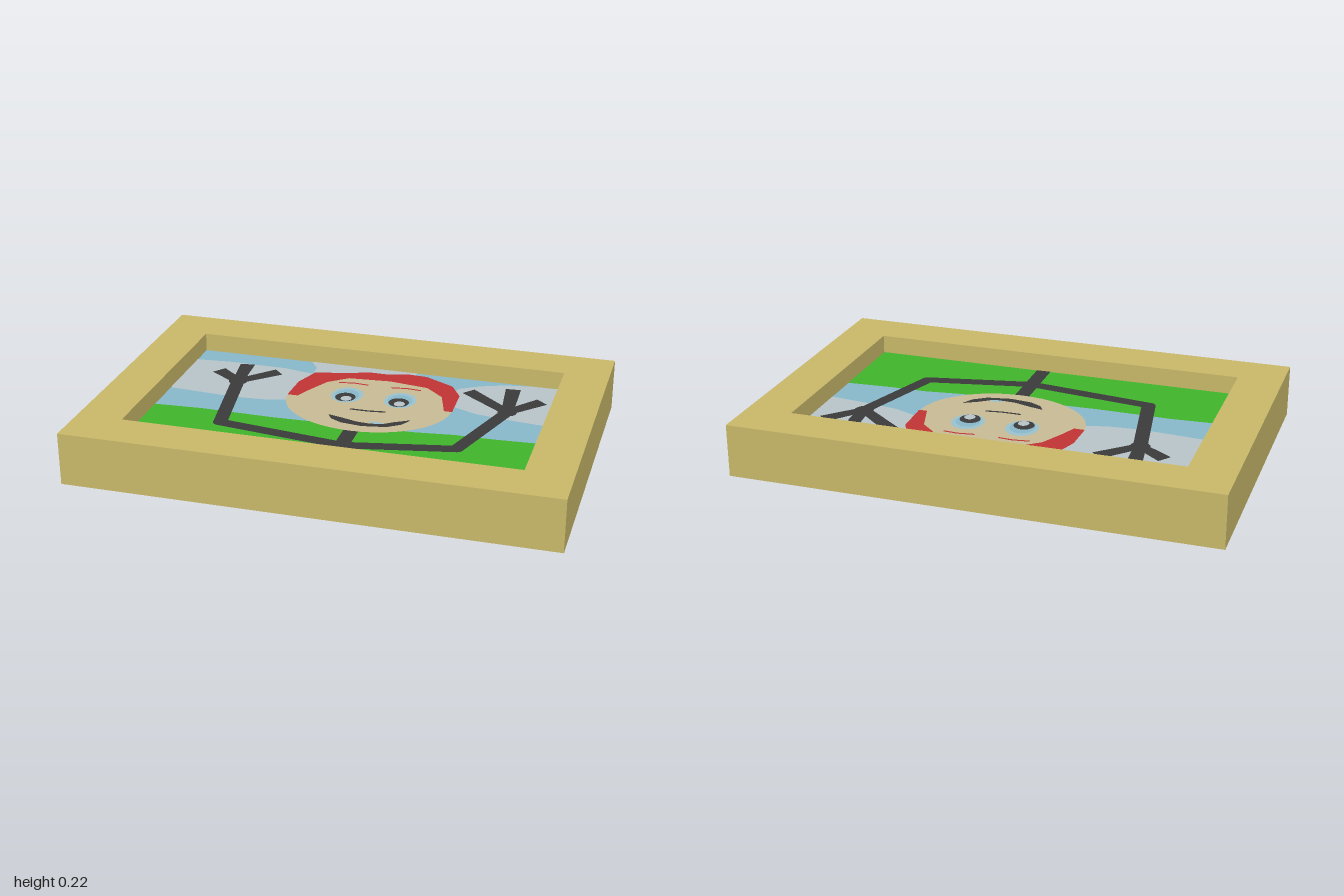
import * as THREE from 'three';

const mat = (name, color) => new THREE.MeshStandardMaterial({ name, color });

export function createModel() {
  const group = new THREE.Group();
  const wood = mat('wood', 0xc9b96a);
  const sky = mat('skyBlue', 0x89b9cb);
  const cloud = mat('cloudGrey', 0xb9c5ca);
  const green = mat('grassGreen', 0x41b52b);
  const skin = mat('skin', 0xc9bb94);
  const red = mat('hairRed', 0xc13434);
  const dark = mat('charcoal', 0x3b3b3b);
  const pale = mat('paleBlue', 0x9cc2cd);

  const W = 0.81, D = 0.473, H = 0.22, FLOOR = 0.14;

  const add = (name, geometry, material) => {
    const mesh = new THREE.Mesh(geometry, material);
    mesh.name = name;
    group.add(mesh);
    return mesh;
  };

  // Picture coordinates are hundredths of a unit: x right, z towards the front.
  const toVec = ([x, z]) => new THREE.Vector2(x / 100, -z / 100);
  const paint = (name, shapes, material, layer) => {
    const g = new THREE.ShapeGeometry(shapes, 24);
    g.rotateX(-Math.PI / 2);
    g.translate(0, FLOOR + layer * 0.001, 0);
    return add(name, g, material);
  };
  const poly = (points) => new THREE.Shape(points.map(toVec));
  const oval = (x, z, rx, rz) =>
    new THREE.Shape().absellipse(x / 100, -z / 100, rx / 100, rz / 100, 0, Math.PI * 2, false, 0);

  // Brush stroke: one quad per segment, with round dabs at inner joints.
  const stroke = (points, w0, w1 = w0) => {
    const shapes = [];
    for (let i = 0; i < points.length - 1; i++) {
      const [ax, az] = points[i], [bx, bz] = points[i + 1];
      const len = Math.hypot(bx - ax, bz - az);
      const nx = -(bz - az) / len / 2, nz = (bx - ax) / len / 2;
      shapes.push(poly([
        [ax + nx * w0, az + nz * w0], [bx + nx * w1, bz + nz * w1],
        [bx - nx * w1, bz - nz * w1], [ax - nx * w0, az - nz * w0],
      ]));
      if (i > 0) shapes.push(oval(ax, az, w0 / 2, w0 / 2));
    }
    return shapes;
  };

  // Wooden frame with a rectangular opening, and the backing inside it
  const rect = (P, w, d) => new P([
    new THREE.Vector2(-w, -d), new THREE.Vector2(w, -d),
    new THREE.Vector2(w, d), new THREE.Vector2(-w, d),
  ]);
  const outline = rect(THREE.Shape, 1, 0.665);
  outline.holes.push(rect(THREE.Path, W, D));
  const frame = new THREE.ExtrudeGeometry(outline, { depth: H, bevelEnabled: false });
  frame.rotateX(-Math.PI / 2);
  add('frame', frame, wood);
  add('backing', new THREE.BoxGeometry(2 * W, FLOOR, 2 * D), wood).position.y = FLOOR / 2;

  // Landscape
  paint('sky', rect(THREE.Shape, W, D), sky, 1);
  paint('clouds', [
    poly([[-81, -36], [-66, -37.3], [-40, -37], [-24, -34], [-24, -7], [-38, -3], [-52, -2], [-81, -4]]),
    poly([[-31, -47.3], [17, -47.3], [17, -42], [10, -38], [-20, -34], [-27, -36], [-27, -41]]),
    poly([[81, -47.3], [68, -47], [56, -45], [46, -41], [38, -36], [36, -30], [38, -18], [50, -13], [62, -11], [81, -9]]),
  ], cloud, 2);
  paint('grass', poly([[-81, 13.8], [-61, 12.6], [-29, 13], [30, 11], [46, 9], [62, 8.8], [81, 7.6],
    [81, 47.3], [-81, 47.3]]), green, 2);

  // Stick body, arms and hands
  paint('body', stroke([[5, 16], [5, 47.3]], 6.2), dark, 3);
  const arms = [
    { side: 'right', path: [[5, 30.5], [-48.5, 23.5], [-55.5, -18]], tips: [[-57.5, -36.5], [-67.5, -27], [-41.5, -32]] },
    { side: 'left', path: [[5, 30.5], [49.5, 21.5], [62.3, -18]], tips: [[60.5, -41.5], [42.5, -34.5], [74.5, -32]] },
  ];
  for (const { side, path, tips } of arms) {
    const wrist = path[2];
    paint(side + 'Arm', stroke(path, 5.8), dark, 3);
    paint(side + 'Hand', [oval(...wrist, 4, 4), ...tips.flatMap((t) => stroke([wrist, t], 5, 6.4))], dark, 3);
  }

  // Head and hair
  paint('head', oval(4.8, -11.5, 35.3, 28.6), skin, 4);
  paint('hair', poly([
    [-30.5, -10], [-30, -24], [-26, -35.5], [-13, -38.5], [-3, -42], [6, -42], [13, -44.5], [22, -44], [35, -37],
    [40, -28], [40.5, -11.5], [37, -11.5], [33, -25], [25, -32.5], [8, -35], [-10, -33.5], [-18, -27], [-23, -17], [-26, -10],
  ]), red, 5);

  // Eyes and brows
  for (const [side, x, z] of [['right', -6, -16.3], ['left', 17, -16.9]]) {
    paint(side + 'EyeRim', oval(x, z, 6.8, 7.8), pale, 5);
    paint(side + 'Eye', oval(x, z + 0.6, 5.2, 6), sky, 6);
    paint(side + 'Pupil', oval(x, z + 2.7, 4.3, 4.4), dark, 7);
    paint(side + 'Glint', oval(x + 0.7, z + 4.2, 2.3, 2.5), cloud, 8);
    paint(side + 'Brow', stroke([[x - 7, z - 11.5], [x, z - 12.5], [x + 6, z - 12]], 1), red, 6);
  }

  // Nose and mouth
  paint('nose', stroke([[-1, -3], [7, -3], [14, -4]], 1.2), dark, 5);
  paint('mouth', poly([[-8, 4.5], [-6, 8], [-1, 10.7], [8, 11.8], [18, 10], [23.5, 6], [26, 1],
    [20, 4.5], [16, 7.5], [11, 8.6], [5, 8.2], [-2, 6]]), dark, 5);
  paint('tooth', oval(13, 7.4, 3, 1), pale, 6);

  return group;
}
